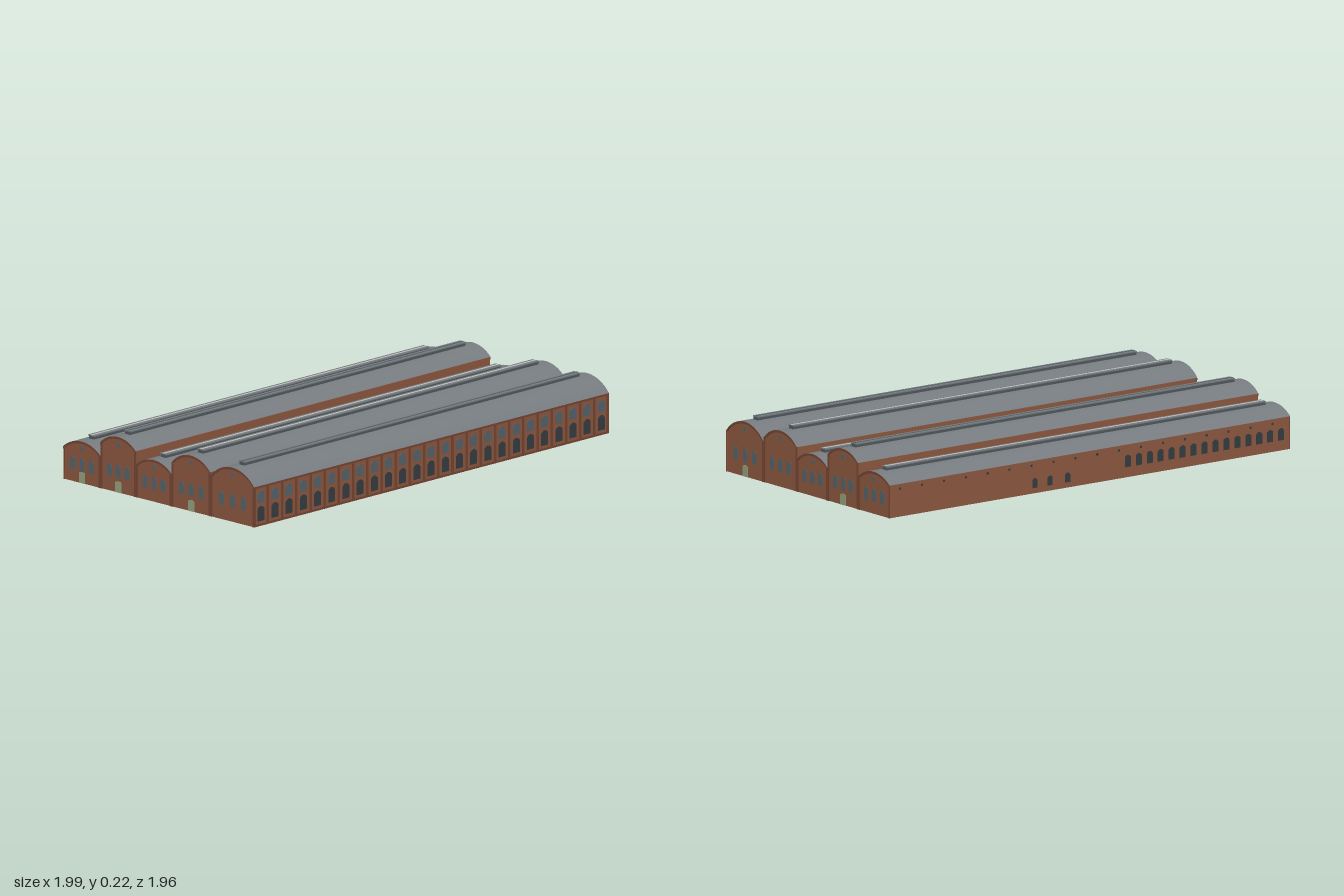
import * as THREE from 'three';
import { mergeGeometries } from 'three/addons/utils/BufferGeometryUtils.js';

const L = 1.83, W = 0.966, T = 0.006; // length, width, wall thickness
const FRACTIONS = [0, 0.194, 0.38, 0.567, 0.77, 1];
const EAVES = [0.122, 0.172, 0.122, 0.165, 0.15];
const PEAKS = [0.157, 0.209, 0.157, 0.209, 0.204];

const paint = (color) => new THREE.MeshStandardMaterial({ color, side: THREE.DoubleSide });
const brick = paint(0x8c5740), darkBrick = paint(0x754532), slate = paint(0x777c80);
const glass = paint(0x55636a), darkGlass = paint(0x343c40), doorPaint = paint(0x93a07c);
const paleGlass = paint(0xc4c6c0), lead = paint(0x50585c);

// The five vaulted halls, listed across the width
const halls = EAVES.map((eave, i) => {
  const z0 = (FRACTIONS[i] - 0.5) * W, z1 = (FRACTIONS[i + 1] - 0.5) * W;
  return { eave, peak: PEAKS[i], z0, z1, mid: (z0 + z1) / 2, width: z1 - z0 };
});

// Height of a circular vault at position t (-1..1) across a hall
function vault(hall, t) {
  const a = hall.width / 2, rise = hall.peak - hall.eave;
  const r = (a * a + rise * rise) / (2 * rise);
  return hall.peak - r + Math.sqrt(r * r - a * a * t * t);
}

function add(parent, name, geometry, material) {
  const mesh = new THREE.Mesh(geometry, material);
  mesh.name = name;
  parent.add(mesh);
  return mesh;
}

const box = (w, h, d, x, y, z) => new THREE.BoxGeometry(w, h, d).translate(x, y, z);

// Window or door panel with a segmental arch, standing on height y
function arched(x, y, w, h, rise = w * 0.3) {
  const s = new THREE.Shape();
  s.moveTo(-w / 2, 0);
  s.lineTo(w / 2, 0);
  s.lineTo(w / 2, h - rise);
  s.quadraticCurveTo(0, h + rise, -w / 2, h - rise);
  s.closePath();
  return new THREE.ExtrudeGeometry(s, { depth: 0.002, bevelEnabled: false, curveSegments: 6 })
    .translate(x, y, 0);
}

// A facade group whose local +z points outward
function facade(name, angle, distance) {
  const g = new THREE.Group();
  g.name = name;
  g.rotation.y = angle;
  g.position.set(Math.sin(angle) * distance, 0, Math.cos(angle) * distance);
  return g;
}

// Gabled end; dir maps the hall positions to the facade's own x
function gableEnd(name, angle, dir, doors) {
  const g = facade(name, angle, L / 2 - 0.003);
  const s = new THREE.Shape();
  s.moveTo(-dir * W / 2, 0);
  for (const h of halls) {
    for (let k = 0; k <= 14; k++) {
      const t = k / 7 - 1;
      s.lineTo(dir * (h.mid + t * h.width / 2), vault(h, t) - 0.004);
    }
  }
  s.lineTo(dir * W / 2, 0);
  s.closePath();
  add(g, 'gableWall', new THREE.ShapeGeometry(s), brick);

  const panes = [], leaves = [], piers = [], copings = [];
  halls.forEach((h, i) => {
    const x = dir * h.mid, hasDoor = doors.includes(i);
    const sill = h.eave > 0.14 ? 0.055 : 0.045;
    for (const k of [-1, 0, 1]) panes.push(arched(x + k * h.width * 0.25, sill, 0.024, 0.048));
    // Small vent window under the crown
    panes.push(arched(x, h.peak - 0.037, 0.014, 0.018));
    if (hasDoor) leaves.push(arched(x, 0, 0.03, 0.042, 0.004));
    // Piers between halls
    for (const z of [h.z0 + 0.005, h.z1 - 0.005]) {
      piers.push(box(0.007, h.eave - 0.004, 0.003, dir * z, (h.eave - 0.004) / 2, 0.0015));
    }
    // Arched coping following the vault
    const c = new THREE.Shape();
    for (let k = 0; k <= 14; k++) {
      const t = k / 7 - 1, px = x + t * h.width / 2;
      k ? c.lineTo(px, vault(h, t) - 0.001) : c.moveTo(px, vault(h, t) - 0.001);
    }
    for (let k = 14; k >= 0; k--) {
      const t = k / 7 - 1;
      c.lineTo(x + t * h.width / 2, vault(h, t) - 0.009);
    }
    copings.push(new THREE.ExtrudeGeometry(c, { depth: 0.003, bevelEnabled: false }));
  });
  add(g, 'gableWindows', mergeGeometries(panes), glass);
  add(g, 'gableDoors', mergeGeometries(leaves), doorPaint);
  add(g, 'gablePiers', mergeGeometries(piers), darkBrick);
  add(g, 'gableCopings', mergeGeometries(copings), darkBrick);
  return g;
}

// Long side with a regular rhythm of piers and two rows of windows
function windowedSide() {
  const g = facade('windowedSide', 0, W / 2 - 0.003), top = EAVES[4];
  add(g, 'sideWall', box(L, top, T, 0, top / 2, -T / 2), brick);
  const lower = [], upper = [], piers = [], n = 25, step = L / n;
  for (let i = 0; i <= n; i++) {
    const x = -L / 2 + i * step;
    const px = THREE.MathUtils.clamp(x, -L / 2 + 0.005, L / 2 - 0.005);
    piers.push(box(0.01, top, 0.003, px, top / 2, 0.0015));
    if (i === n) break;
    lower.push(arched(x + step / 2, 0.018, 0.034, 0.056));
    upper.push(arched(x + step / 2, 0.086, 0.034, 0.044));
  }
  piers.push(box(L, 0.008, 0.003, 0, top - 0.004, 0.0015), box(L, 0.008, 0.003, 0, 0.004, 0.0015));
  add(g, 'lowerWindows', mergeGeometries(lower), darkGlass);
  add(g, 'upperWindows', mergeGeometries(upper), glass);
  add(g, 'sidePiers', mergeGeometries(piers), darkBrick);
  return g;
}

// Plain long side with a partial row of openings
function plainSide() {
  const g = facade('plainSide', Math.PI, W / 2 - 0.003), top = EAVES[0];
  add(g, 'sideWall', box(L, top, T, 0, top / 2, -T / 2), brick);
  const openings = [];
  for (let i = 0; i < 15; i++) openings.push(arched(L / 2 - 0.04 - i * 0.05, 0.038, 0.026, 0.045));
  for (const x of [-0.25, -0.18, -0.1]) openings.push(arched(x, 0.02, 0.022, 0.036));
  // Small vents below the eave
  for (let i = 0; i < 18; i++) openings.push(arched(-L / 2 + 0.05 + i * 0.1, 0.1, 0.008, 0.009));
  add(g, 'sideOpenings', mergeGeometries(openings), darkGlass);
  return g;
}

// Vaulted roof with a narrow ridge lantern
function hallRoof(h, i) {
  const g = new THREE.Group();
  g.name = 'hallRoof' + (i + 1);
  const roof = new THREE.PlaneGeometry(L, h.width, 1, 20).rotateX(-Math.PI / 2);
  const p = roof.attributes.position;
  for (let k = 0; k < p.count; k++) {
    p.setY(k, vault(h, THREE.MathUtils.clamp(p.getZ(k) / (h.width / 2), -1, 1)));
  }
  roof.computeVertexNormals();
  add(g, 'vault', roof.translate(0, 0, h.mid), slate);
  const len = L - 0.1;
  add(g, 'ridgeLantern', box(len, 0.014, 0.024, 0, h.peak + 0.004, h.mid), lead);
  add(g, 'lanternCap', box(len, 0.004, 0.032, 0, h.peak + 0.012, h.mid), slate);
  const pale = [0, 2, 3].includes(i);
  add(g, 'ridgeGlazing', box(len, 0.002, 0.007, 0, h.peak + 0.0142, h.mid), pale ? paleGlass : glass);
  return g;
}

export function createModel() {
  const model = new THREE.Group();
  model.name = 'vaultedHalls';
  const building = new THREE.Group();
  building.name = 'building';
  building.rotation.y = 0.76; // the block stands diagonally
  model.add(building);

  building.add(gableEnd('entranceEnd', -Math.PI / 2, 1, [0, 1, 3]));
  building.add(gableEnd('farEnd', Math.PI / 2, -1, [1, 4]));
  building.add(windowedSide(), plainSide());
  halls.forEach((h, i) => building.add(hallRoof(h, i)));

  // Brick strips where a taller hall rises above its neighbour
  for (let i = 0; i < 4; i++) {
    const lo = Math.min(EAVES[i], EAVES[i + 1]), hi = Math.max(EAVES[i], EAVES[i + 1]);
    add(building, 'clerestoryWall', box(L - 0.01, hi - lo, 0.004, 0, (lo + hi) / 2, halls[i].z1), brick);
  }
  return model;
}
